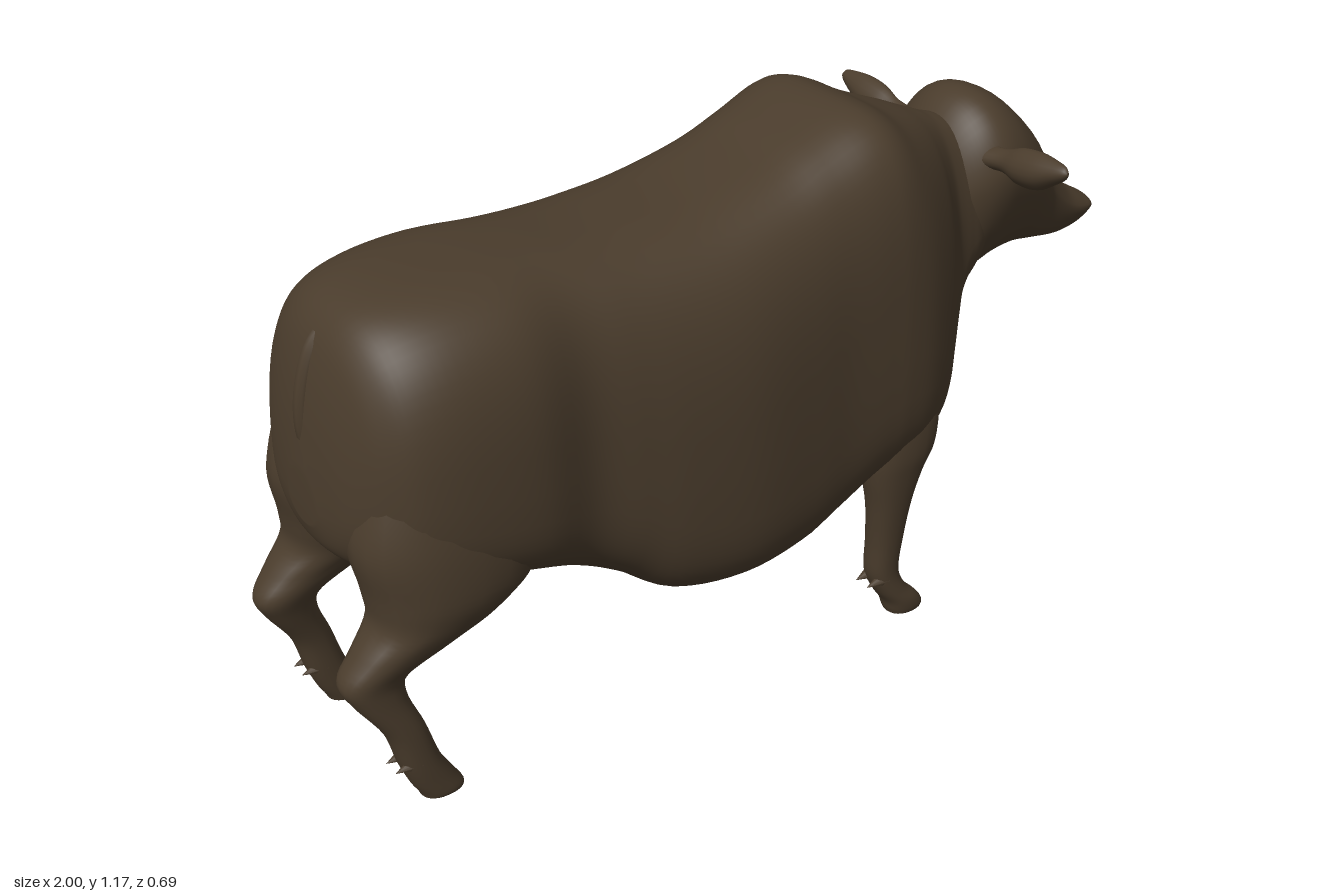
import * as THREE from 'three';

const hide = new THREE.MeshStandardMaterial({ name: 'darkBrownHide', color: 0x4a3c2c });

// Smooth interpolation of one column through the key rows
function catmull(a, b, c, d, t) {
  return 0.5 * (2 * b + (c - a) * t + (2 * a - 5 * b + 4 * c - d) * t * t + (3 * b - a - 3 * c + d) * t * t * t);
}

// Closed skin through cross-sections; place(row, cos, sin) returns [x, y, z]
function loft(name, keys, place, segs = 32, steps = 5) {
  const rows = [], pos = [], idx = [], last = keys.length - 1;
  for (let k = 0; k < last; k++) {
    for (let s = 0; s < steps; s++) {
      rows.push(keys[k].map((_, c) => catmull(keys[Math.max(k - 1, 0)][c], keys[k][c],
        keys[k + 1][c], keys[Math.min(k + 2, last)][c], s / steps)));
    }
  }
  rows.push(keys[last]);
  const rings = rows.map(r => Array.from({ length: segs }, (_, i) => {
    const a = i / segs * Math.PI * 2;
    return place(r, Math.cos(a), Math.sin(a));
  }));
  // Close both ends with a ring collapsed to its middle
  const collapse = ring => {
    const mid = [0, 1, 2].map(c => ring.reduce((sum, p) => sum + p[c], 0) / segs);
    return ring.map(() => mid);
  };
  rings.unshift(collapse(rings[0]));
  rings.push(collapse(rings[rings.length - 1]));
  rings.forEach(ring => ring.forEach(p => pos.push(...p)));
  for (let j = 0; j < rings.length - 1; j++) {
    for (let i = 0; i < segs; i++) {
      const a = j * segs + i, b = j * segs + (i + 1) % segs;
      idx.push(a, b, a + segs, b, b + segs, a + segs);
    }
  }
  // Turn the skin outward by its signed volume
  let volume = 0;
  const at = i => new THREE.Vector3().fromArray(pos, i * 3);
  for (let i = 0; i < idx.length; i += 3) volume += at(idx[i]).dot(at(idx[i + 1]).cross(at(idx[i + 2])));
  if (volume < 0) idx.reverse();
  const g = new THREE.BufferGeometry();
  g.setAttribute('position', new THREE.Float32BufferAttribute(pos, 3));
  g.setIndex(idx);
  g.computeVertexNormals();
  const mesh = new THREE.Mesh(g, hide);
  mesh.name = name;
  return mesh;
}

const pw = (v, n) => Math.sign(v) * Math.pow(Math.abs(v), 2 / n);

// Upright section along x: row = [x, top, bottom, halfWidth, upper squareness, lower squareness]
const trunk = (mid, taperUp, taperDown) => ([x, top, bot, w, nUp = 2.25, nLow = 2.25], c, s) => {
  const n = s > 0 ? nUp : nLow, h = pw(s, n), yc = bot + (top - bot) * mid;
  const y = yc + h * (h > 0 ? top - yc : yc - bot);
  return [x, y, w * pw(c, n) * (1 - (h > 0 ? taperUp * h : -taperDown * h))];
};

// Level section down a leg: row = [y, xBack, xFront, zInner, zOuter]
const limb = side => ([y, xb, xf, zi, zo], c, s) => [
  (xb + xf) / 2 + pw(c, 2.3) * (xf - xb) / 2, y, side * ((zi + zo) / 2 + pw(s, 2.3) * (zo - zi) / 2)];

const bodyRows = [
  [-0.955, 0.74, 0.63, 0.05, 2, 2], [-0.942, 0.85, 0.59, 0.125, 2.2, 2.2], [-0.92, 0.945, 0.565, 0.18, 2.4, 2.5],
  [-0.89, 1.01, 0.55, 0.222, 2.6, 2.8], [-0.84, 1.05, 0.535, 0.26, 2.8, 3.2], [-0.75, 1.07, 0.51, 0.285, 3, 3.6],
  [-0.62, 1.075, 0.48, 0.293, 3.1, 3.6], [-0.5, 1.07, 0.425, 0.27, 3.1, 3.4], [-0.4, 1.062, 0.372, 0.285, 3.1, 3.4],
  [-0.3, 1.06, 0.307, 0.302, 3.1, 3.8], [-0.15, 1.067, 0.285, 0.31, 3.2, 4.2], [0, 1.098, 0.29, 0.293, 3.4, 4.2],
  [0.1, 1.135, 0.315, 0.28, 3.6, 4], [0.2, 1.17, 0.36, 0.277, 3.9, 4], [0.26, 1.166, 0.38, 0.275, 3.9, 4],
  [0.33, 1.13, 0.383, 0.262, 3.4, 3.8], [0.41, 1.1, 0.385, 0.225, 2.8, 3.2], [0.45, 1.083, 0.408, 0.192, 2.6, 2.8],
  [0.482, 1.07, 0.475, 0.165, 2.4, 2.5], [0.505, 1.06, 0.57, 0.15, 2.3, 2.3], [0.535, 1.05, 0.635, 0.14, 2.2, 2.2],
  [0.57, 1.035, 0.672, 0.13, 2.2, 2.2], [0.63, 0.97, 0.73, 0.1, 2.2, 2.2]];

const headRows = [
  [0.49, 0.96, 0.76, 0.07], [0.525, 1.035, 0.69, 0.122], [0.565, 1.08, 0.668, 0.153], [0.61, 1.095, 0.677, 0.165],
  [0.66, 1.078, 0.693, 0.16], [0.71, 1.037, 0.7, 0.147], [0.76, 0.985, 0.698, 0.125], [0.8, 0.93, 0.69, 0.098],
  [0.84, 0.88, 0.682, 0.077], [0.9, 0.81, 0.674, 0.065], [0.95, 0.776, 0.682, 0.06], [0.98, 0.758, 0.703, 0.052],
  [0.998, 0.74, 0.722, 0.03]];

const frontLegRows = [
  [0.68, 0.24, 0.35, 0.12, 0.21], [0.58, 0.21, 0.38, 0.1, 0.235], [0.5, 0.195, 0.4, 0.1, 0.25],
  [0.43, 0.2, 0.385, 0.125, 0.254], [0.375, 0.21, 0.352, 0.146, 0.248], [0.3, 0.225, 0.327, 0.154, 0.238],
  [0.2, 0.236, 0.315, 0.15, 0.225], [0.12, 0.24, 0.312, 0.146, 0.218], [0.07, 0.26, 0.332, 0.146, 0.22],
  [0.035, 0.282, 0.365, 0.146, 0.224], [0.012, 0.29, 0.382, 0.147, 0.223], [0, 0.295, 0.382, 0.15, 0.22]];

const hindLegRows = [
  [0.86, -0.86, -0.68, 0.12, 0.22], [0.75, -0.91, -0.6, 0.06, 0.255], [0.64, -0.94, -0.56, 0.03, 0.278],
  [0.54, -0.925, -0.59, 0.04, 0.281], [0.48, -0.925, -0.66, 0.07, 0.265], [0.43, -0.965, -0.755, 0.1, 0.24],
  [0.38, -1, -0.86, 0.118, 0.218], [0.33, -0.98, -0.877, 0.133, 0.215], [0.25, -0.93, -0.85, 0.148, 0.22],
  [0.17, -0.907, -0.826, 0.15, 0.222], [0.12, -0.888, -0.8, 0.15, 0.222], [0.09, -0.872, -0.782, 0.15, 0.222],
  [0.08, -0.868, -0.78, 0.152, 0.22]];

// Leaf-shaped ear: row = [z, yCentre, yRadius, xCentre, xRadius]
const earRows = [
  [0.12, 0.98, 0.026, 0.58, 0.024], [0.17, 0.987, 0.026, 0.58, 0.016], [0.215, 0.989, 0.041, 0.58, 0.021],
  [0.265, 0.996, 0.041, 0.58, 0.021], [0.31, 1.009, 0.026, 0.58, 0.014], [0.335, 1.016, 0.015, 0.58, 0.008],
  [0.345, 1.018, 0.004, 0.58, 0.003]];

export function createModel() {
  const model = new THREE.Group();
  model.name = 'bull';
  model.add(loft('body', bodyRows, trunk(0.38, 0.05, 0.01), 64));
  model.add(loft('head', headRows, trunk(0.6, 0.08, 0.28), 40));

  // Short tail ridge sunk into the rump
  const tailPath = new THREE.CatmullRomCurve3([[-0.86, 1.01], [-0.9, 0.97], [-0.926, 0.9], [-0.934, 0.83], [-0.925, 0.76]]
    .map(([x, y]) => new THREE.Vector3(x, y, 0)));
  const tail = new THREE.Mesh(new THREE.TubeGeometry(tailPath, 20, 0.018, 10), hide);
  tail.name = 'tail';
  model.add(tail);

  for (const side of [1, -1]) {
    const label = side > 0 ? 'left' : 'right';
    model.add(loft(label + 'FrontLeg', frontLegRows, limb(side), 24));
    model.add(loft(label + 'HindLeg', hindLegRows, limb(side), 24));

    // Ears cupped towards the front
    model.add(loft(label + 'Ear', earRows, ([z, yc, ry, xc, rx], c, s) =>
      [xc + rx * s + ry * 0.35 * (c * c - 0.5), yc + ry * c, side * z], 20));

    // Eyelid bulge
    const eye = new THREE.Mesh(new THREE.SphereGeometry(1, 20, 12), hide);
    eye.name = label + 'Eye';
    eye.scale.set(0.046, 0.024, 0.016);
    eye.position.set(0.733, 0.908, side * 0.123);
    eye.rotation.set(0, side * 0.42, -0.25);
    model.add(eye);

    // Dewclaws behind each fetlock
    for (const [x, y, z] of [[0.246, 0.102, 0.182], [-0.9, 0.172, 0.186]]) {
      for (const dz of [-0.018, 0.018]) {
        const claw = new THREE.Mesh(new THREE.ConeGeometry(0.018, 0.05, 10), hide);
        claw.name = label + 'Dewclaw';
        claw.position.set(x, y, side * (z + dz));
        claw.rotation.z = 1.7;
        model.add(claw);
      }
    }
  }
  return model;
}
